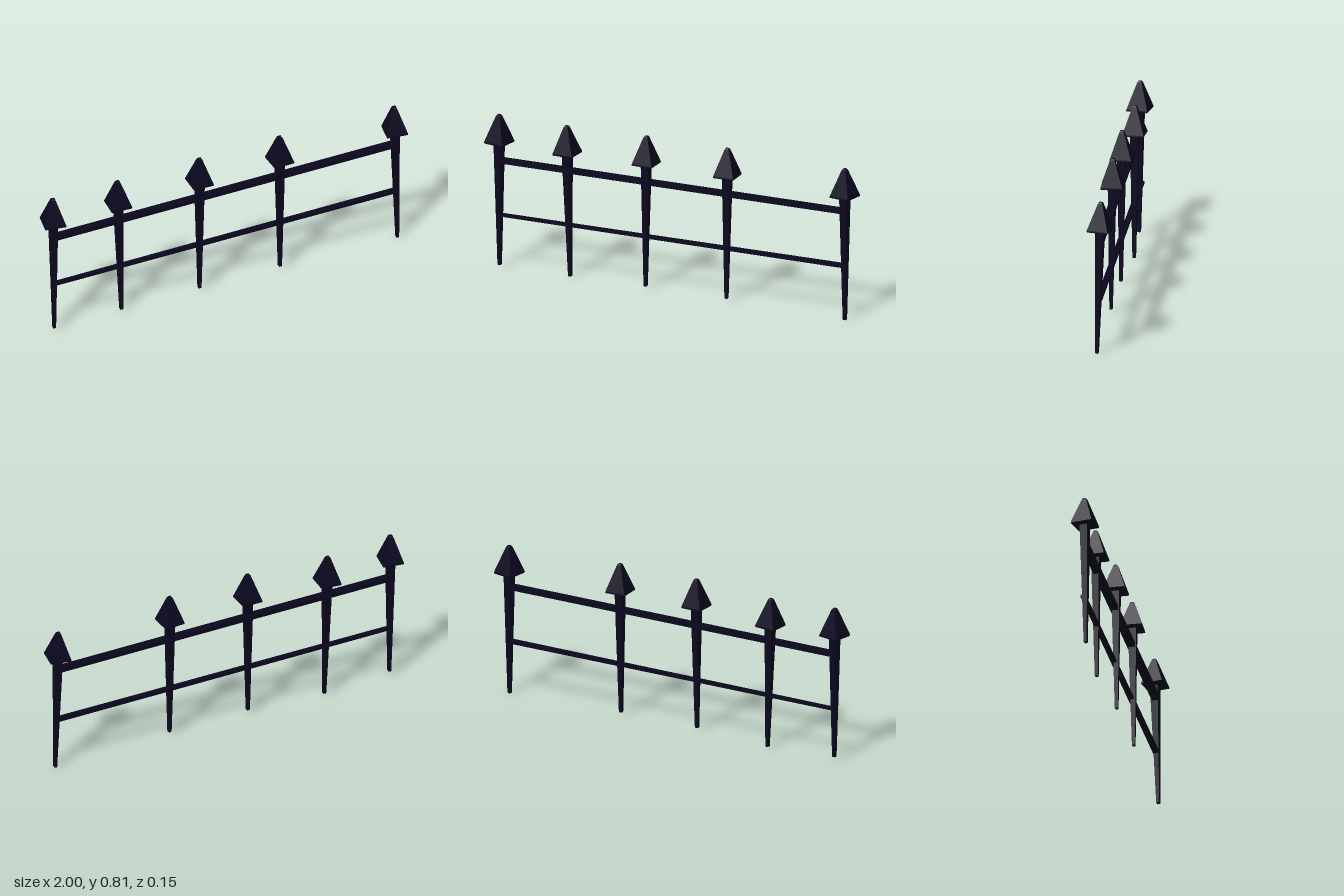
import * as THREE from 'three';

const iron = new THREE.MeshStandardMaterial({ color: 0x0b071f, flatShading: true });

// Square-section solid from [half width, height] pairs, bottom to top
function squareLathe(profile) {
  const points = profile.map(([half, y]) => new THREE.Vector2(half * Math.SQRT2, y));
  return new THREE.LatheGeometry(points, 4, Math.PI / 4);
}

// Bar between two ends, each end with its own centre, height and depth
function taperedBar(a, b) {
  const geometry = new THREE.BoxGeometry(1, 1, 1);
  const p = geometry.attributes.position;
  for (let i = 0; i < p.count; i++) {
    const end = p.getX(i) < 0 ? a : b;
    p.setXYZ(i, end.x, end.y + p.getY(i) * end.height, end.z + p.getZ(i) * end.depth);
  }
  geometry.computeVertexNormals();
  return geometry;
}

export function createModel() {
  const fence = new THREE.Group();
  fence.name = 'spikedFence';

  const add = (parent, name, geometry) => {
    const mesh = new THREE.Mesh(geometry, iron);
    mesh.name = name;
    parent.add(mesh);
  };

  // Tapered stake with slightly softened ends, and its pyramid spearhead
  const stake = squareLathe([[0, 0], [0.006, 0], [0.008, 0.004], [0.021, 0.66], [0, 0.66]]);
  const spearhead = squareLathe([
    [0, 0.637], [0.052, 0.637], [0.0545, 0.641], [0.0535, 0.647],
    [0.011, 0.779], [0.007, 0.785], [0, 0.786],
  ]);

  // Uneven posts: foot, tip and turn about the stake
  const posts = [
    { foot: [-0.931, 0.02, -0.004], tip: [-0.936, 0.807, -0.008], turn: -0.2 },
    { foot: [-0.556, 0.008, -0.016], tip: [-0.576, 0.793, -0.017], turn: -0.09 },
    { foot: [-0.138, 0.022, 0.009], tip: [-0.136, 0.808, 0.005], turn: -0.04 },
    { foot: [0.301, 0.02, 0.016], tip: [0.303, 0.805, 0.009], turn: 0.01 },
    { foot: [0.943, 0, 0.024], tip: [0.935, 0.787, 0.006], turn: -0.19 },
  ];
  const up = new THREE.Vector3(0, 1, 0);
  posts.forEach(({ foot, tip, turn }, i) => {
    const post = new THREE.Group();
    post.name = `post${i + 1}`;
    post.position.set(...foot);
    const lean = new THREE.Vector3(...tip).sub(post.position).normalize();
    post.quaternion.setFromUnitVectors(up, lean);
    post.rotateY(turn);
    add(post, 'stake', stake);
    add(post, 'spearhead', spearhead);
    fence.add(post);
  });

  // Rails running through the posts
  add(fence, 'upperRail', taperedBar(
    { x: -0.93, y: 0.565, z: -0.012, height: 0.022, depth: 0.04 },
    { x: 0.93, y: 0.565, z: 0.016, height: 0.022, depth: 0.04 },
  ));
  add(fence, 'lowerRail', taperedBar(
    { x: -0.935, y: 0.278, z: -0.017, height: 0.012, depth: 0.026 },
    { x: 0.935, y: 0.279, z: 0.014, height: 0.018, depth: 0.028 },
  ));

  return fence;
}
